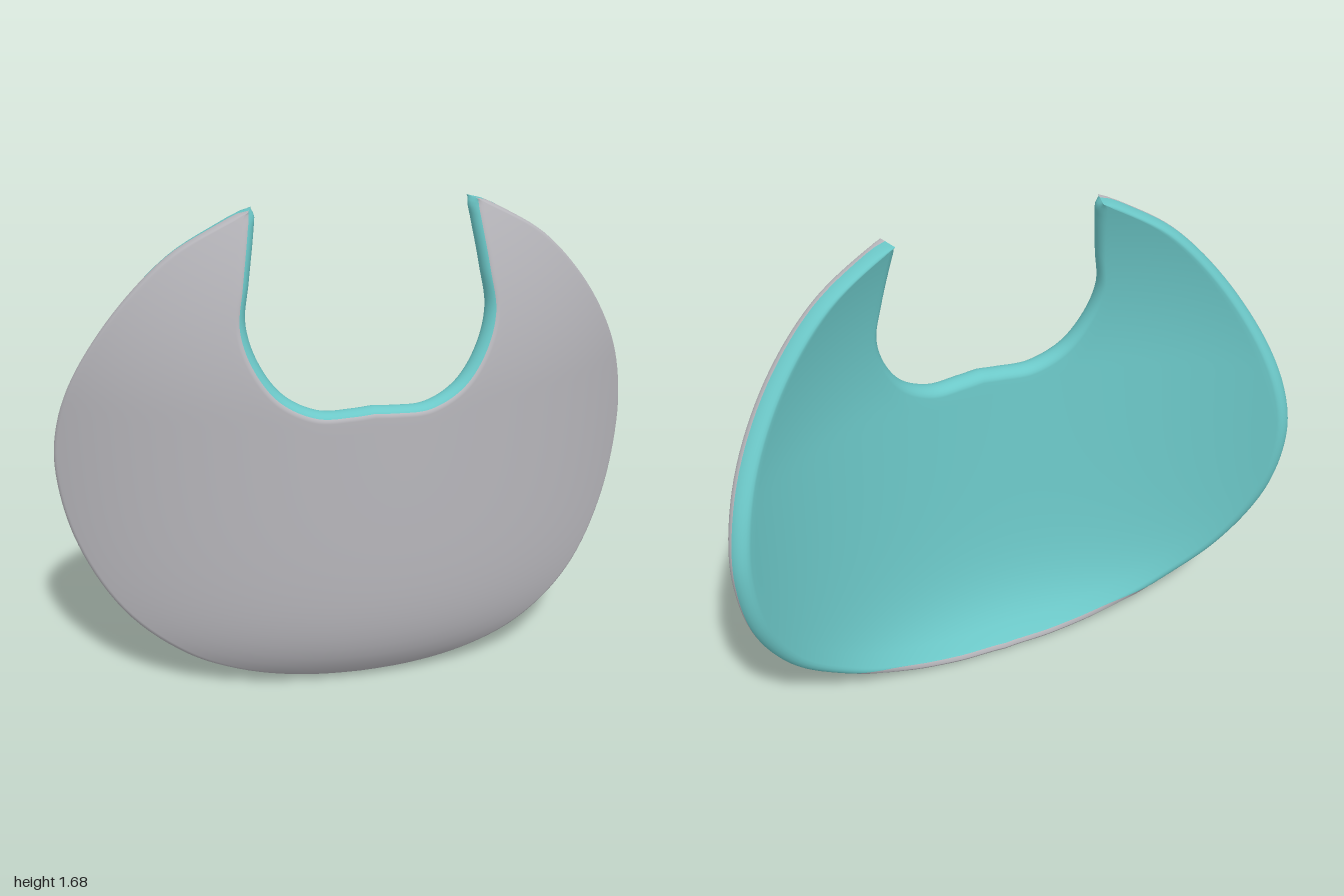
import * as THREE from 'three';

const THICK = 0.075, ROUND = 0.03;
const COLS = 70, FACE = 22, RIM = 6; // columns per half, steps across a face, steps per half rim

// Outline of the left half: neck cutout and outer edge, both running from the middle to the tip
const curve = (pts) => new THREE.CatmullRomCurve3(pts.map(([x, y]) => new THREE.Vector3(x, y, 0)));
const neck = curve([[0, 1.066], [0.07, 1.06], [0.18, 1.06], [0.29, 1.115], [0.365, 1.22], [0.398, 1.34],
  [0.38, 1.47], [0.355, 1.62], [0.35, 1.665], [0.362, 1.68]]);
const edge = curve([[0, 0.003], [0.2, 0.013], [0.4, 0.05], [0.6, 0.127], [0.81, 0.29], [0.95, 0.53], [1, 0.78],
  [0.985, 0.95], [0.925, 1.13], [0.79, 1.355], [0.62, 1.54], [0.47, 1.635], [0.395, 1.673], [0.362, 1.68]]);

// Front surface: bowed sideways, tucked under at the bottom, leaning back at the top
const depthAt = (x, y) => {
  const top = Math.max(0, y - 1.05);
  return 0.185 + 0.045 * y - 0.155 * Math.exp(-y / 0.13) - 0.32 * top * top
    - 0.36 * x * x - 0.04 * x ** 6;
};
const slopeAt = (x) => -0.72 * x - 0.24 * x ** 5;

// Point at fraction v across the strip and fraction d through the thickness
function shellPoint(a, b, v, d, side) {
  const x = a.x + (b.x - a.x) * v, y = a.y + (b.y - a.y) * v;
  const s = slopeAt(x), len = Math.hypot(s, 1);
  return [side * (x + (s / len) * THICK * d), y, depthAt(x, y) - (THICK * d) / len];
}

// Closed cross-section: front face, outer rim, back face, neck rim
function crossSection(u) {
  const side = u < 0 ? -1 : 1;
  const a = neck.getPointAt(Math.abs(u)), b = edge.getPointAt(Math.abs(u));
  const inset = Math.min(0.45, ROUND / Math.max(a.distanceTo(b), 1e-4));
  const through = (t) => (1 - Math.cos(Math.PI * t)) / 2;
  const bulge = (t) => inset * (1 - Math.sin(Math.PI * t));
  const split = 0.38 + 0.57 * (1 - THREE.MathUtils.smoothstep(b.y, 0.04, 0.24));
  const pts = [];
  const add = (v, d) => pts.push(shellPoint(a, b, v, d, side));
  for (let k = 0; k < FACE; k++) add(inset + (1 - 2 * inset) * k / FACE, 0);
  for (let k = 0; k < 2 * RIM; k++) {
    const t = k < RIM ? split * k / RIM : split + (1 - split) * (k - RIM) / RIM;
    add(1 - bulge(t), through(t));
  }
  for (let k = 0; k < FACE; k++) add(1 - inset - (1 - 2 * inset) * k / FACE, 1);
  for (let k = 0; k < 2 * RIM; k++) {
    const t = 1 - k / (2 * RIM);
    add(bulge(t), through(t));
  }
  return pts;
}

export function createModel() {
  const group = new THREE.Group();
  group.name = 'curvedBib';
  const outerGrey = new THREE.MeshStandardMaterial({ color: 0xbab9be });
  outerGrey.name = 'outerGrey';
  const liningTeal = new THREE.MeshStandardMaterial({ color: 0x6cc8c8 });
  liningTeal.name = 'liningTeal';

  const loop = 2 * FACE + 4 * RIM;
  const positions = [], grey = [], teal = [];
  for (let i = -COLS; i <= COLS; i++) {
    crossSection(i / COLS).forEach((p) => positions.push(...p));
  }
  for (let i = 0; i < 2 * COLS; i++) {
    for (let j = 0; j < loop; j++) {
      const k = (j + 1) % loop;
      const a = i * loop + j, b = i * loop + k, c = b + loop, d = a + loop;
      // Grey covers the front and rolls over the rim, teal lines the rest
      const isGrey = j < FACE + RIM || j >= loop - 2;
      (isGrey ? grey : teal).push(a, b, c, a, c, d);
    }
  }
  const geometry = new THREE.BufferGeometry();
  geometry.setAttribute('position', new THREE.Float32BufferAttribute(positions, 3));
  geometry.setIndex([...grey, ...teal]);
  geometry.addGroup(0, grey.length, 0);
  geometry.addGroup(grey.length, teal.length, 1);
  geometry.computeVertexNormals();

  const shell = new THREE.Mesh(geometry, [outerGrey, liningTeal]);
  shell.name = 'bibShell';
  group.add(shell);
  return group;
}
